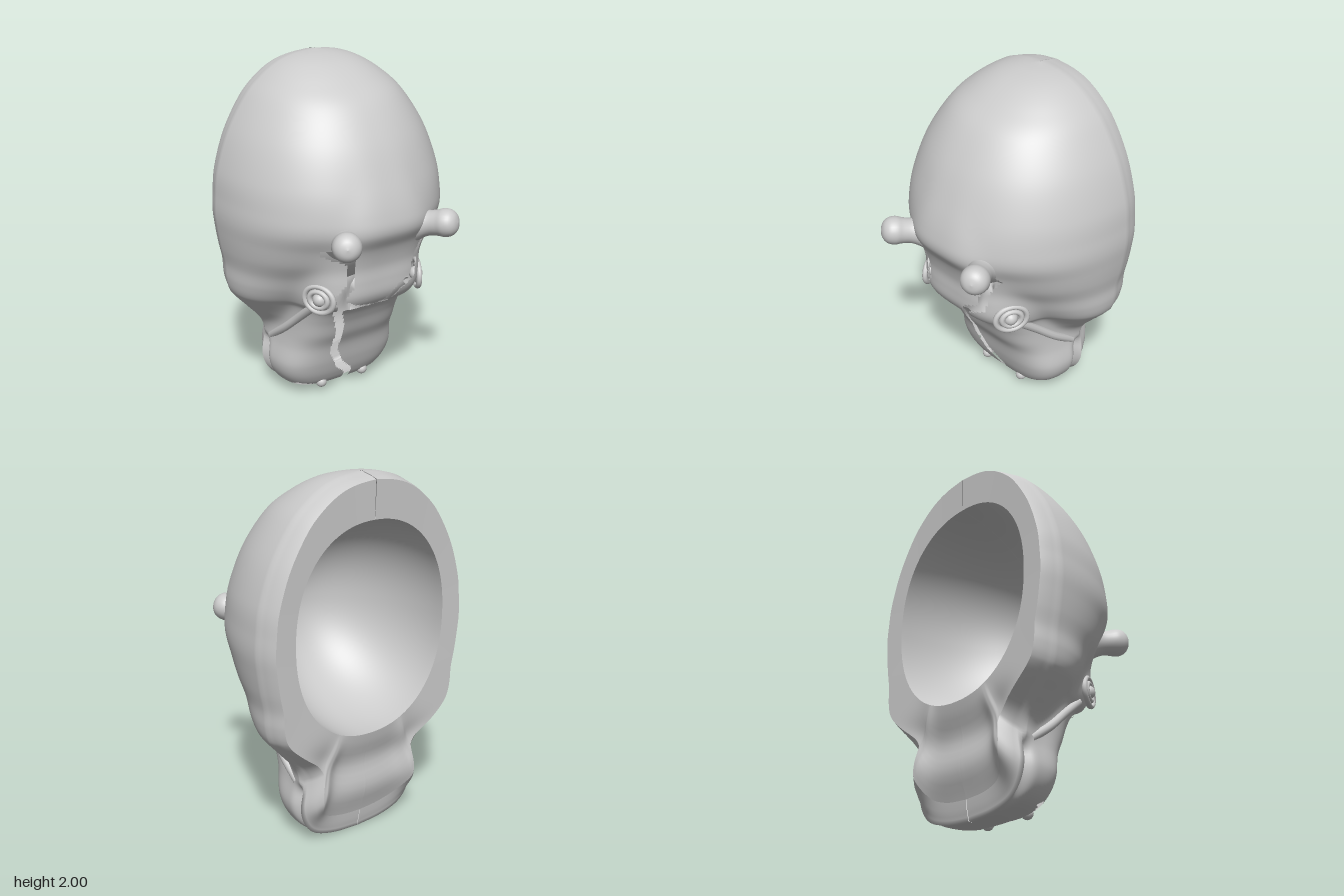
import * as THREE from 'three';

const ROWS = 170, COLS = 150, ZC = -0.37, MID = 1.19;
const smooth = THREE.MathUtils.smoothstep;

// Cross-sections from crown to chin: y, skull half-width, skull front z
const skull = [
  [2.0, 0.002, -0.368], [1.985, 0.13, -0.25], [1.95, 0.24, -0.13], [1.88, 0.35, 0], [1.78, 0.45, 0.13],
  [1.6, 0.56, 0.25], [1.4, 0.63, 0.33], [1.25, 0.65, 0.365], [1.15, 0.655, 0.36], [1.05, 0.645, 0.3],
  [0.95, 0.63, 0.24], [0.85, 0.61, 0.15], [0.76, 0.605, 0.08], [0.69, 0.59, 0.02], [0.64, 0.56, -0.03],
  [0.55, 0.48, -0.1], [0.45, 0.395, -0.17], [0.35, 0.36, -0.2], [0.22, 0.36, -0.22], [0.12, 0.32, -0.24],
  [0.05, 0.24, -0.27], [0.012, 0.12, -0.3], [0, 0.002, -0.368],
];
// Brow and muzzle for the same rows: half-width, front z
const muzzle = [
  [0.001, -0.369], [0.06, -0.3], [0.1, -0.25], [0.15, -0.15], [0.2, 0], [0.2, 0.15], [0.22, 0.27],
  [0.29, 0.34], [0.33, 0.36], [0.36, 0.315], [0.375, 0.295], [0.39, 0.295], [0.39, 0.285], [0.38, 0.24],
  [0.365, 0.16], [0.36, 0.1], [0.36, 0.055], [0.37, 0], [0.39, -0.04], [0.36, -0.08], [0.29, -0.13],
  [0.16, -0.22], [0.002, -0.368],
];
const curve = (pts) => new THREE.CatmullRomCurve3(pts, false, 'catmullrom', 0.5);
const skullCurve = curve(skull.map(([y, w, z]) => new THREE.Vector3(w, y, z)));
const muzzleCurve = curve(muzzle.map(([w, z], i) => new THREE.Vector3(w, skull[i][0], z)));

// Jagged openings, as polylines seen from the front
const cracks = [
  [[-0.33, 1.06], [-0.2, 1.0], [-0.2, 0.85], [-0.26, 0.76], [-0.15, 0.7], [0, 0.67], [0.06, 0.7],
    [0.12, 0.78], [0.22, 0.83], [0.24, 0.95], [0.31, 1.05]],
  [[-0.24, 0.76], [-0.18, 0.62], [-0.13, 0.5], [-0.12, 0.32], [-0.06, 0.2], [0.02, 0.12], [0.02, 0.06]],
  [[-0.29, 0.08], [-0.1, 0.03], [0.1, 0.03], [0.29, 0.08]],
];
const crackWidths = [0.023, 0.025, 0.012];

function inCrack(p) {
  if (p.z < -0.25 || p.y > 1.1) return false;
  return cracks.some((line, k) => line.slice(1).some((b, i) => {
    const a = line[i], dx = b[0] - a[0], dy = b[1] - a[1];
    const t = THREE.MathUtils.clamp(((p.x - a[0]) * dx + (p.y - a[1]) * dy) / (dx * dx + dy * dy), 0, 1);
    return Math.hypot(p.x - a[0] - t * dx, p.y - a[1] - t * dy) < crackWidths[k];
  }));
}

// Joins rows of points into a smooth surface
function gridMesh(name, rows, material, skip = () => false) {
  const n = rows[0].length, index = [];
  for (let i = 0; i < rows.length - 1; i++) {
    for (let j = 0; j < n - 1; j++) {
      if (skip(rows[i][j])) continue;
      const a = i * n + j, c = a + n;
      index.push(a, a + 1, c, a + 1, c + 1, c);
    }
  }
  const geometry = new THREE.BufferGeometry().setFromPoints(rows.flat());
  geometry.setIndex(index);
  geometry.computeVertexNormals();
  const mesh = new THREE.Mesh(geometry, material);
  mesh.name = name;
  return mesh;
}

const superRadius = (a, w, d, n) =>
  Math.pow(Math.pow(Math.abs(Math.cos(a)) / w, n) + Math.pow(Math.abs(Math.sin(a)) / d, n), -1 / n);

// One horizontal section, from the left back edge round the front to the right back edge
function section(t) {
  const s = skullCurve.getPoint(t), m = muzzleCurve.getPoint(t);
  const y = THREE.MathUtils.clamp(s.y, 0, 2), w1 = Math.max(s.x, 0.001), w2 = Math.max(m.x, 0.001);
  const d1 = Math.max(s.z - ZC, 0.001), d2 = Math.max(m.z - ZC, 0.001);
  const low = 1 - smooth(y, 0.3, 0.65);
  const back = -0.5 + 0.09 * (1 - smooth(y, 0, 0.2)) + 0.025 * Math.exp(-(((y - 0.42) / 0.09) ** 2));
  const side = Math.max(w1, w2);
  const tail = [[0, 1], [0.025, 0.83], [0.045, 0.6], [0.08, 0.28], [0.13, 0]].map(([inset, k]) => {
    const e = inset * (0.5 + 0.9 * low);
    return new THREE.Vector3(side * (1 - e), MID + (y - MID) * (1 - e * 0.5), THREE.MathUtils.lerp(back, ZC - 0.02, k));
  });
  const arc = [];
  for (let j = 0; j <= COLS; j++) {
    const a = Math.PI * j / COLS, edge = Math.min(a, Math.PI - a);
    const r1 = superRadius(a, w1, d1, 2.2), r2 = superRadius(a, w2, d2, 3.6);
    let r = Math.pow(r1 ** 16 + r2 ** 16, 1 / 16);
    // mouth slit on the sides
    r *= 1 - 0.13 * Math.exp(-((edge / 0.1) ** 2)) * (1 - smooth(y, 0.28, 0.38));
    arc.push(new THREE.Vector3(r * Math.cos(a), y, ZC + r * Math.sin(a)));
  }
  const mirrored = tail.map(p => new THREE.Vector3(-p.x, p.y, p.z));
  return [...tail.reverse(), ...arc, ...mirrored];
}

export function createModel() {
  const group = new THREE.Group();
  const material = new THREE.MeshStandardMaterial({ color: 0xcccccc, side: THREE.DoubleSide });
  const add = (name, geometry, x, y, z) => {
    const mesh = new THREE.Mesh(geometry, material);
    mesh.name = name;
    mesh.position.set(x, y, z);
    group.add(mesh);
    return mesh;
  };

  // Outer head
  const rows = Array.from({ length: ROWS + 1 }, (_, i) => section(i / ROWS));
  group.add(gridMesh('headShell', rows, material, inCrack));

  // Back rim and jaw back, from the outline in to the oval opening
  const outline = [...rows.map(r => r[0]), ...rows.map(r => r[r.length - 1]).reverse()];
  const opening = outline.map(p => {
    const a = Math.atan2(p.y - MID, p.x);
    const r = superRadius(a, 0.49, 0.58, 2.2);
    return new THREE.Vector3(r * Math.cos(a), MID + r * Math.sin(a), -0.495);
  });
  const rim = Array.from({ length: 13 }, (_, k) => outline.map((p, l) => {
    const q = p.clone().lerp(opening[l], k / 12);
    const bulge = Math.sin(Math.PI * k / 12);
    q.z += bulge * 0.025 * Math.exp(-(((q.y - 0.45) / 0.1) ** 2));
    q.z = Math.max(-0.5, q.z - bulge * 0.03 * Math.exp(-(((q.y - 0.22) / 0.12) ** 2)));
    return q;
  }));
  group.add(gridMesh('backRim', rim, material));

  // Hollow inside
  const cavity = Array.from({ length: 25 }, (_, k) => {
    const a = Math.PI / 2 * k / 24, c = Math.max(Math.cos(a), 0.001);
    return opening.map(p => new THREE.Vector3(p.x * c, MID + (p.y - MID) * c, -0.495 + 0.7 * Math.sin(a)));
  });
  group.add(gridMesh('cavity', cavity, material));

  // Ear profile: flared root, neck and round tip
  const earProfile = [[0.12, -0.04], [0.085, 0.03], [0.07, 0.08], [0.072, 0.13], [0.079, 0.17], [0.07, 0.21], [0.042, 0.237], [0.001, 0.247]];
  const earCurve = new THREE.SplineCurve(earProfile.map(p => new THREE.Vector2(...p)));
  for (const side of [1, -1]) {
    const label = side > 0 ? 'left' : 'right';
    const ear = add(label + 'Ear', new THREE.LatheGeometry(earCurve.getPoints(28), 28), side * 0.235, 1.12, 0.27);
    ear.quaternion.setFromUnitVectors(new THREE.Vector3(0, 1, 0), new THREE.Vector3(side * 0.11, 0.037, 0.19).normalize());

    // Eye with folded lids
    add(label + 'Eye', new THREE.SphereGeometry(0.04, 20, 14), side * 0.325, 0.76, 0.16);
    for (const [i, radius] of [0.055, 0.09].entries()) {
      const lid = add(label + 'Eyelid' + i, new THREE.TorusGeometry(radius, 0.016, 10, 36), side * (0.335 - i * 0.004), 0.76, 0.16);
      lid.rotation.y = side * 1.1;
      lid.scale.y = 0.85;
    }

    // Cheek fold running from the eye to the mouth corner
    const fold = new THREE.CatmullRomCurve3([[0.325, 0.68, 0.08], [0.335, 0.58, -0.04], [0.355, 0.46, -0.18], [0.36, 0.36, -0.32]]
      .map(([x, y, z]) => new THREE.Vector3(side * x, y, z)));
    add(label + 'CheekFold', new THREE.TubeGeometry(fold, 24, 0.024, 10), 0, 0, 0);

    // Nostril bump
    add(label + 'Nostril', new THREE.SphereGeometry(0.033, 16, 12), side * 0.145, 0.065, -0.125);
  }
  return group;
}
